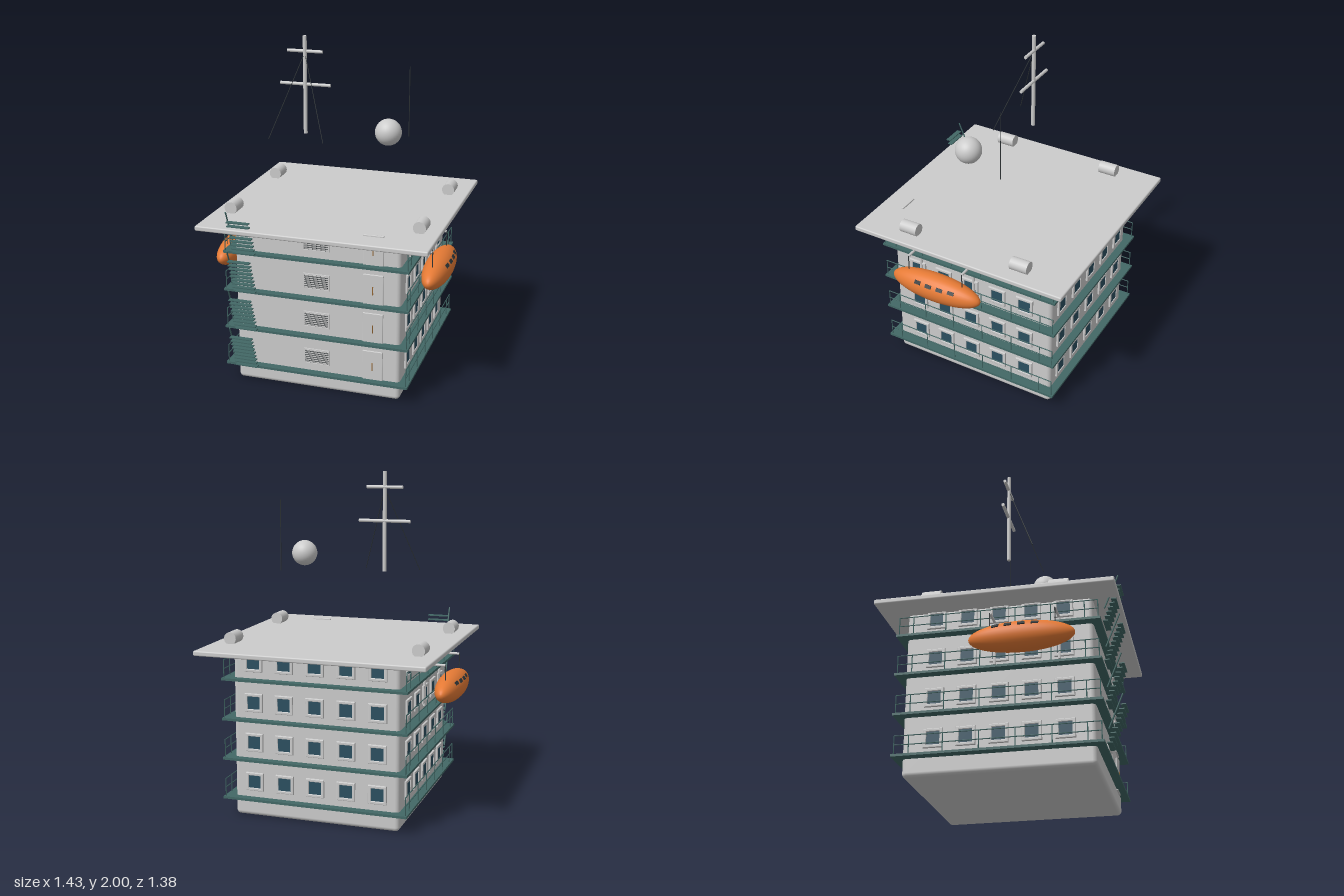
import * as THREE from 'three';
import { RoundedBoxGeometry } from 'three/addons/geometries/RoundedBoxGeometry.js';

const mat = (color) => new THREE.MeshStandardMaterial({ color });
const grey = mat(0xcccccc), teal = mat(0x426866), glass = mat(0x2b4f60);
const orange = mat(0xe57a35), dark = mat(0x303638), bronze = mat(0x9a6a35);
const LEVELS = 4, PITCH = 0.2375, CZ = -0.005;

export function createModel() {
  const root = new THREE.Group();

  const add = (parent, name, geo, material, x = 0, y = 0, z = 0) => {
    const m = new THREE.Mesh(geo, material);
    m.name = name;
    m.position.set(x, y, z);
    parent.add(m);
    return m;
  };
  const box = (parent, name, w, h, d, material, x, y, z) =>
    add(parent, name, new THREE.BoxGeometry(w, h, d), material, x, y, z);
  // Round bar between two points
  const rod = (parent, name, a, b, r, material, sides = 8) => {
    const p = new THREE.Vector3(...a), q = new THREE.Vector3(...b);
    const dir = q.clone().sub(p);
    const m = add(parent, name, new THREE.CylinderGeometry(r, r, dir.length(), sides), material);
    m.position.copy(p).add(q).multiplyScalar(0.5);
    m.quaternion.setFromUnitVectors(new THREE.Vector3(0, 1, 0), dir.normalize());
    return m;
  };
  const group = (name, parent = root) => {
    const g = new THREE.Group();
    g.name = name;
    parent.add(g);
    return g;
  };

  // Main block and roof slab
  add(root, 'body', new RoundedBoxGeometry(1, 0.985, 1.07, 4, 0.025), grey, 0, 0.4925, CZ);
  add(root, 'roof', new RoundedBoxGeometry(1.37, 0.03, 1.365, 2, 0.008), grey, 0, 0.985, CZ);

  // Window: square frame with an opening and a recessed pane
  const square = (shape, s) => shape.moveTo(-s, -s).lineTo(s, -s).lineTo(s, s).lineTo(-s, s).closePath();
  const frameShape = new THREE.Shape();
  square(frameShape, 0.051);
  const opening = new THREE.Path();
  square(opening, 0.041);
  frameShape.holes.push(opening);
  const frameGeo = new THREE.ExtrudeGeometry(frameShape, {
    depth: 0.008, bevelEnabled: true, bevelSize: 0.004, bevelThickness: 0.004, bevelSegments: 2,
  });
  const paneGeo = new THREE.BoxGeometry(0.084, 0.084, 0.008);
  const addWindow = (x, y, z, turn) => {
    const w = group('window');
    add(w, 'windowFrame', frameGeo, grey);
    add(w, 'windowPane', paneGeo, glass, 0, 0, 0.003);
    w.position.set(x, y, z);
    w.rotation.y = turn;
  };

  const ventShape = new THREE.Shape();
  ventShape.moveTo(-0.079, -0.048).lineTo(0.079, -0.048).lineTo(0.079, 0.048).lineTo(-0.079, 0.048).closePath();
  const ventHole = new THREE.Path();
  ventHole.moveTo(-0.073, -0.042).lineTo(0.073, -0.042).lineTo(0.073, 0.042).lineTo(-0.073, 0.042).closePath();
  ventShape.holes.push(ventHole);
  const ventFrame = new THREE.ExtrudeGeometry(ventShape, { depth: 0.01, bevelEnabled: false });

  for (let i = 0; i < LEVELS; i++) {
    const y = 0.11 + i * PITCH;
    const mid = y + 0.101;

    // Walkway around the block
    box(root, 'deck', 1.115, 0.014, 1.165, teal, 0, y, CZ);

    // Windows on both sides and the back
    for (let k = -2; k <= 2; k++) {
      addWindow(0.5, mid, k * 0.183, Math.PI / 2);
      addWindow(-0.5, mid, k * 0.183, -Math.PI / 2);
      addWindow(k * 0.187, mid, -0.54, Math.PI);
    }

    // Side railings
    for (const s of [-1, 1]) {
      const rail = group('railing');
      const x = s * 0.547;
      for (const z of [0.565, 0.49, 0.3, 0.1, -0.1, -0.3, -0.49, -0.573])
        rod(rail, 'railingPost', [x, y, z], [x, y + 0.112, z], 0.003, teal, 6);
      for (const h of [0.06, 0.112])
        rod(rail, 'railingBar', [x, y + h, 0.567], [x, y + h, -0.575], 0.003, teal, 6);
    }

    // Front vent with slats
    const vent = group('vent');
    vent.position.set(0, mid - 0.002, 0.53);
    add(vent, 'ventFrame', ventFrame, grey);
    box(vent, 'ventBack', 0.146, 0.084, 0.004, dark, 0, 0, 0.001);
    for (let k = -3; k <= 3; k++) {
      const slat = box(vent, 'ventSlat', 0.146, 0.008, 0.003, grey, 0, k * 0.012, 0.006);
      slat.rotation.x = 0.4;
    }

    // Front door with handle
    const door = group('door');
    door.position.set(0.34, y + 0.086, 0.532);
    add(door, 'doorLeaf', new RoundedBoxGeometry(0.12, 0.2, 0.014, 2, 0.003), grey);
    rod(door, 'doorHandle', [0, -0.02, 0.012], [0, 0.03, 0.012], 0.003, bronze);
    for (const h of [-0.014, 0.024])
      rod(door, 'handleMount', [0, h, 0.004], [0, h, 0.012], 0.003, bronze);

    // Outside stair flight with its handrail
    const stair = group('stairFlight');
    for (let k = 0; k < 9; k++)
      box(stair, 'stairStep', 0.134, 0.006, 0.03, teal, -0.417, y + 0.013 + k * 0.0262, 0.597 + k * 0.0098);
    rod(stair, 'stairHandrail', [-0.488, y + 0.085, 0.594], [-0.488, y + 0.28, 0.676], 0.0045, teal);
  }

  // Lifeboats hung from davits
  const hull = new THREE.SphereGeometry(1, 32, 24);
  hull.rotateX(Math.PI / 2);
  hull.scale(0.082, 0.087, 0.297);
  for (const s of [-1, 1]) {
    const boat = group('lifeboat');
    boat.position.set(s * 0.634, 0.711, 0.153);
    add(boat, 'boatHull', hull, orange);
    for (const z of [0.087, 0.012, -0.062, -0.135]) {
      const yy = 0.047;
      const x = 0.082 * Math.sqrt(1 - (yy / 0.087) ** 2 - (z / 0.297) ** 2);
      const w = box(boat, 'boatWindow', 0.008, 0.022, 0.04, dark, s * x, yy, z);
      w.rotation.order = 'ZYX';
      w.rotation.z = s * 0.6;
      w.rotation.y = -s * Math.atan2(z / 0.297 ** 2, x / 0.082 ** 2);
    }
    for (const z of [0.34, -0.025]) {
      const davit = group('davit');
      rod(davit, 'davitPost', [s * 0.507, 0.615, z], [s * 0.507, 0.87, z], 0.009, grey);
      rod(davit, 'davitArm', [s * 0.5, 0.87, z], [s * 0.632, 0.87, z], 0.008, grey);
      rod(davit, 'davitCable', [s * 0.634, 0.87, z], [s * 0.634, 0.75, z], 0.003, dark);
    }
  }

  // Canisters at the roof corners
  for (const x of [-0.573, 0.57])
    for (const z of [-0.375, 0.356])
      rod(root, 'roofCanister', [x, 1.031, z - 0.055], [x, 1.031, z + 0.055], 0.038, grey, 24);

  // Mast with yards and stays
  const mast = group('mast');
  rod(mast, 'mastPole', [-0.247, 1.41, CZ], [-0.247, 2, CZ], 0.012, grey, 16);
  rod(mast, 'upperYard', [-0.357, 1.908, CZ - 0.003], [-0.138, 1.908, CZ - 0.003], 0.01, grey, 12);
  rod(mast, 'lowerYard', [-0.404, 1.71, CZ - 0.003], [-0.09, 1.71, CZ - 0.003], 0.01, grey, 12);
  for (const s of [-1, 1])
    rod(mast, 'mastStay', [-0.247, 1.9, CZ], [-0.247 + s * 0.17, 1.405, 0.175], 0.0022, dark, 6);

  // Radar dome and whip aerial
  add(root, 'radarDome', new THREE.SphereGeometry(0.078, 32, 24), grey, 0.302, 1.49, 0.114);
  rod(root, 'whipAerial', [0.362, 1.405, -0.13], [0.362, 1.83, -0.13], 0.0025, dark, 6);

  return root;
}
